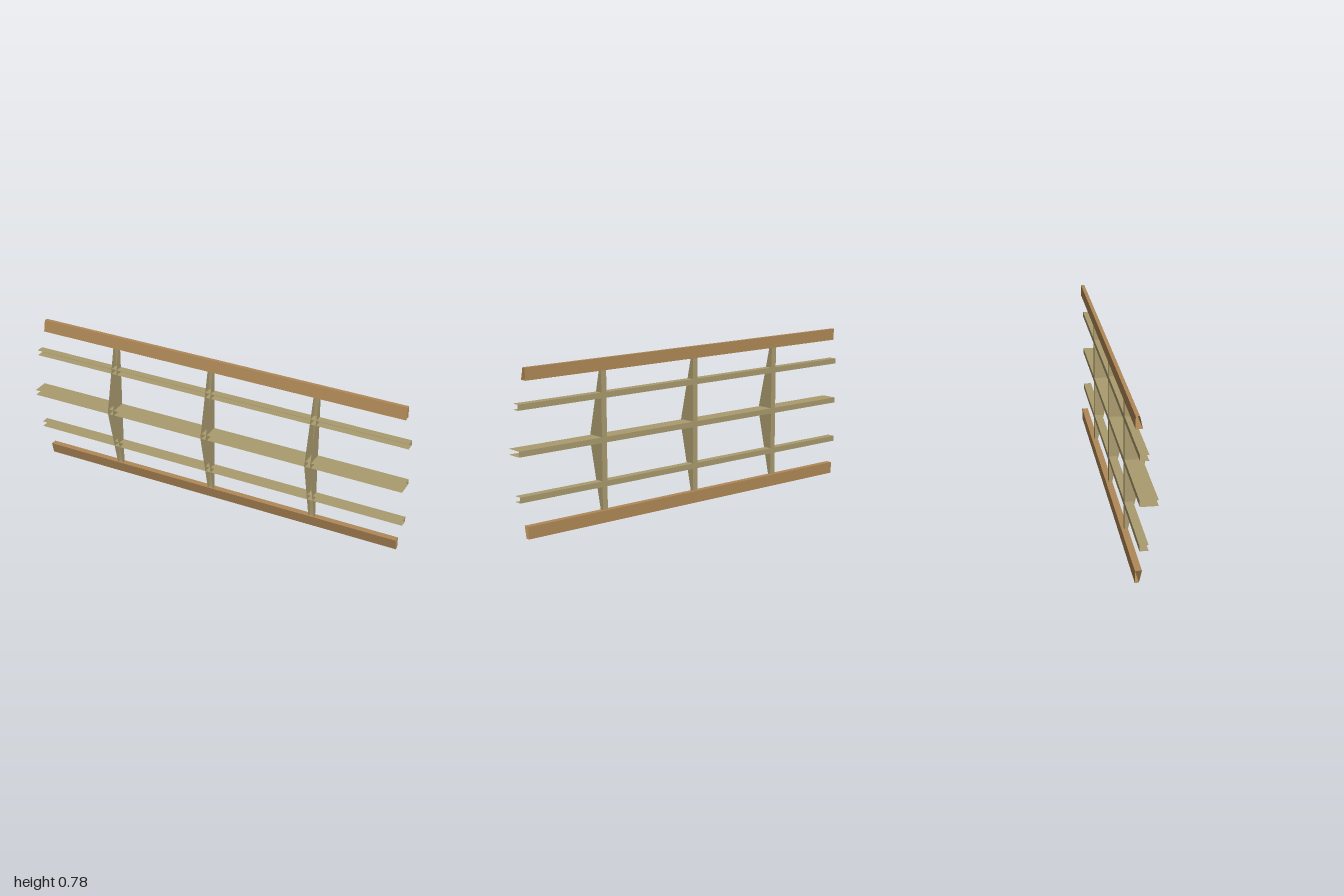
import * as THREE from 'three';

const tan = new THREE.MeshStandardMaterial({ color: 0xaa9b6e, side: THREE.DoubleSide });
tan.name = 'tan metal';
const brown = new THREE.MeshStandardMaterial({ color: 0xb08856, side: THREE.DoubleSide });
brown.name = 'brown metal';

// Sweeps a [z, y] section along x as a thin open-ended sheet
function sheet(name, section, x0, x1, material, closed = false) {
  const points = closed ? [...section, section[0]] : section;
  const pos = [];
  for (let i = 0; i < points.length - 1; i++) {
    const [za, ya] = points[i];
    const [zb, yb] = points[i + 1];
    pos.push(x0, ya, za, x1, ya, za, x1, yb, zb);
    pos.push(x0, ya, za, x1, yb, zb, x0, yb, zb);
  }
  const geo = new THREE.BufferGeometry();
  geo.setAttribute('position', new THREE.Float32BufferAttribute(pos, 3));
  geo.computeVertexNormals();
  const mesh = new THREE.Mesh(geo, material);
  mesh.name = name;
  return mesh;
}

// Tapered side plate of a rib, standing in the yz plane
function ribPlate(x, faceRight) {
  const s = faceRight ? 1 : -1;
  const outline = [[-0.04, 0.042], [-0.027, 0.042], [0.054, 0.389], [-0.027, 0.736], [-0.04, 0.736]];
  const shape = new THREE.Shape(outline.map(([z, y]) => new THREE.Vector2(-s * z, y)));
  const mesh = new THREE.Mesh(new THREE.ShapeGeometry(shape), tan);
  mesh.rotation.y = s * Math.PI / 2;
  mesh.position.x = x;
  mesh.name = 'ribSidePlate';
  return mesh;
}

export function createModel() {
  const model = new THREE.Group();
  model.name = 'panelFrame';

  // Hollow edge rails, front faces leaning back away from the middle
  const bottom = [[-0.054, 0], [-0.036, 0], [-0.023, 0.058], [-0.054, 0.058]];
  const top = bottom.map(([z, y]) => [z, 0.777 - y]).reverse();
  model.add(sheet('bottomRail', bottom, -0.968, 0.968, brown, true));
  model.add(sheet('topRail', top, -0.968, 0.968, brown, true));

  // Channel stringers, open to the front; the middle one is deeper
  for (const [y, front] of [[0.182, 0], [0.391, 0.042], [0.601, 0]]) {
    const lo = y - 0.0135, hi = y + 0.0135;
    model.add(sheet('stringer', [[front, lo], [-0.04, lo], [-0.04, hi], [front, hi]].reverse(), -1, 1, tan));
  }

  // Ribs: two tapered plates joined by a back web
  for (const x of [-0.547, -0.0225, 0.53]) {
    const rib = new THREE.Group();
    rib.name = 'rib';
    rib.add(ribPlate(x - 0.0145, false), ribPlate(x + 0.0145, true));
    rib.add(sheet('ribWeb', [[-0.04, 0.042], [-0.04, 0.736]], x - 0.0145, x + 0.0145, tan));
    model.add(rib);
  }
  return model;
}
